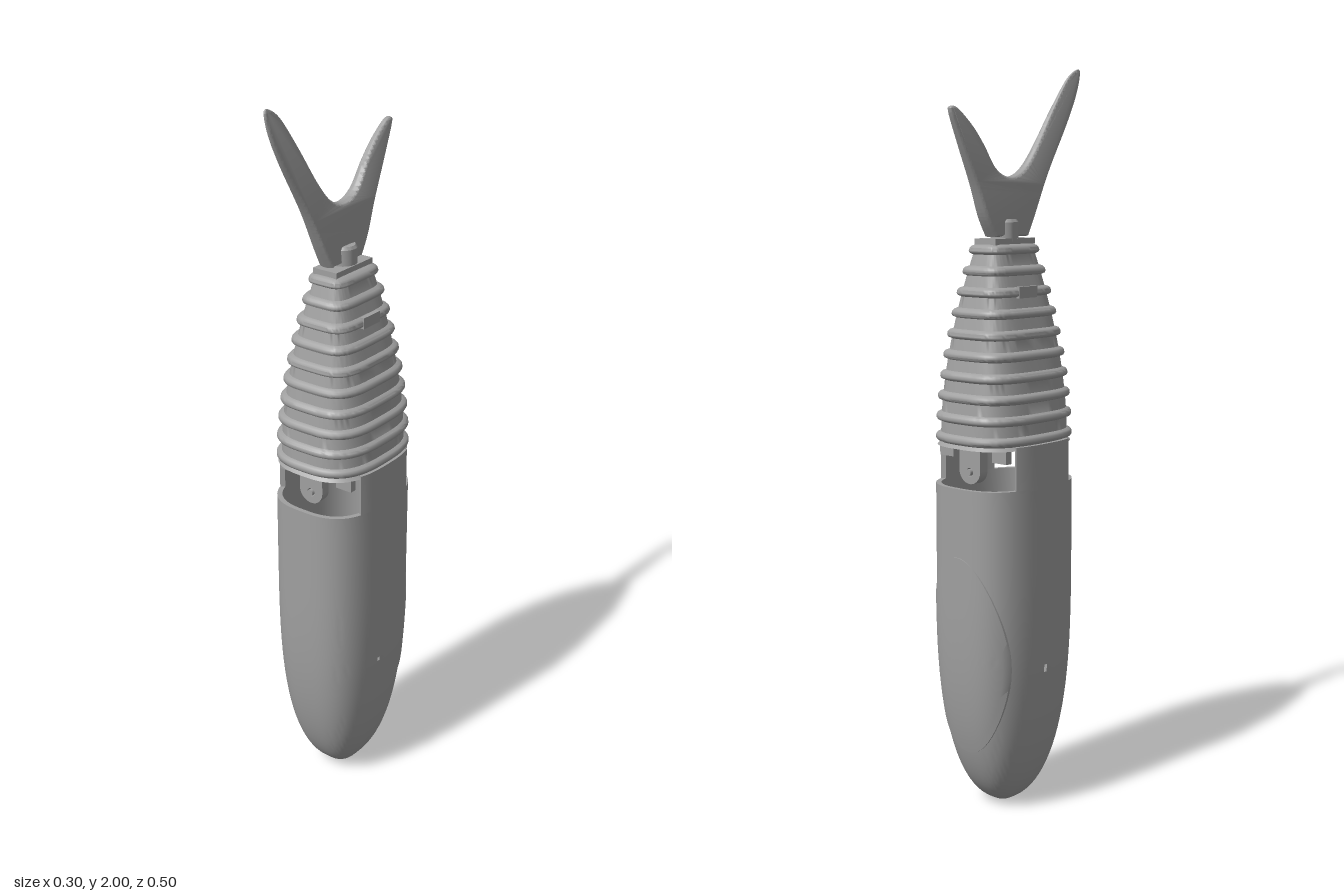
import * as THREE from 'three';
import { toCreasedNormals } from 'three/addons/utils/BufferGeometryUtils.js';

const ZC = -0.03;   // centre line of the hull in z
const N = 2.8;      // squareness of the hull section
const COLS = 80;

// Point on a squared oval of half sizes hx, hz at angle a
function oval(a, hx, hz, n) {
  const c = Math.cos(a), s = Math.sin(a);
  return [
    hx * Math.sign(c) * Math.abs(c) ** (2 / n),
    ZC + hz * Math.sign(s) * Math.abs(s) ** (2 / n),
  ];
}

// Half sizes of the hull at height y
function hullSize(y) {
  const u = Math.max(0, 1 - y / 0.7);
  const f = Math.max(0, 1 - u ** 3) ** (1 / 2.2);
  return [0.15 * f, 0.184 * f];
}

// Surface from a grid of points, facing along (row step) x (column step)
function grid(rows, cols, point, keep = () => true, crease = 0.6) {
  const pos = [], index = [];
  for (let i = 0; i < rows; i++)
    for (let j = 0; j < cols; j++) pos.push(...point(i, j));
  for (let i = 0; i < rows - 1; i++)
    for (let j = 0; j < cols; j++) {
      if (!keep(i, j)) continue;
      const k = (j + 1) % cols;
      const a = i * cols + j, b = a + cols, c = (i + 1) * cols + k, d = i * cols + k;
      index.push(a, b, c, a, c, d);
    }
  const g = new THREE.BufferGeometry();
  g.setAttribute('position', new THREE.Float32BufferAttribute(pos, 3));
  g.setIndex(index);
  return toCreasedNormals(g, crease);
}

// Loft through rings [y, hx, hz, n]
function loft(rings, keep, crease) {
  return grid(rings.length, COLS, (i, j) => {
    const [y, hx, hz, n = N] = rings[i];
    const [x, z] = oval((j / COLS) * Math.PI * 2, hx, hz, n);
    return [x, y, z];
  }, keep, crease);
}

export function createModel() {
  const group = new THREE.Group();
  const grey = new THREE.MeshStandardMaterial({ color: 0xa0a0a0, side: THREE.DoubleSide });
  grey.name = 'grey';
  const add = (name, geometry, x = 0, y = 0, z = 0) => {
    const m = new THREE.Mesh(geometry, grey);
    m.name = name;
    m.position.set(x, y, z);
    group.add(m);
    return m;
  };

  // Hollow hull with a small hole through both sides
  const lo = 0.386, hi = 0.414, top = 0.905, wall = 0.013;
  const ys = [lo, hi];
  for (let k = 0; k <= 30; k++) {
    const y = top * (k / 30) ** 2;
    if (y < lo - 0.01 || y > hi + 0.01) ys.push(y);
  }
  ys.sort((a, b) => a - b);
  const outer = ys.map((y) => [y, ...hullSize(y)]);
  const inner = outer.filter((r) => r[0] > 0.03)
    .map(([y, hx, hz]) => [y, hx - wall, hz - wall]).reverse();
  const hull = [...outer, ...inner, [0.03, 0, 0]];
  add('hull', loft(hull, (i, j) => {
    const mid = (hull[i][0] + hull[i + 1][0]) / 2;
    const inHole = mid > lo && mid < hi && (j === 0 || j === COLS / 2 - 1);
    return !inHole;
  }));

  // Oval hatch on the back, slightly proud of the hull
  const R = 14;
  add('backHatch', grid(R + 1, 64, (i, j) => {
    const r = Math.min(1, i / (R - 1)), a = (-j / 64) * Math.PI * 2;
    const lift = i === R ? -0.003 : 0.003;
    const x = 0.13 * r * Math.cos(a), y = 0.445 + 0.275 * r * Math.sin(a);
    const [hx, hz] = hullSize(y);
    const q = Math.min(1, Math.abs(x) / (hx + lift));
    return [x, y, ZC - (hz + lift) * (1 - q ** N) ** (1 / N)];
  }));

  // Curved side walls joining the hull to the tail section
  for (const side of [0, Math.PI]) {
    const out = [], inn = [];
    for (let k = -6; k <= 6; k++) {
      const a = side + (k / COLS) * Math.PI * 2;
      const [x, z] = oval(a, 0.15, 0.184, N);
      const [xi, zi] = oval(a, 0.15 - wall, 0.184 - wall, N);
      out.push(new THREE.Vector2(x, -z));
      inn.unshift(new THREE.Vector2(xi, -zi));
    }
    const g = new THREE.ExtrudeGeometry(new THREE.Shape([...out, ...inn]),
      { depth: 0.12, bevelEnabled: false });
    g.rotateX(-Math.PI / 2);
    add(side ? 'rightWall' : 'leftWall', toCreasedNormals(g, 0.6), 0, 0.9, 0);
  }

  // Hinge tabs with pins, and small brackets, at front and back
  const tab = new THREE.Shape();
  tab.moveTo(-0.038, 0.1);
  tab.lineTo(-0.038, 0.038);
  tab.absarc(0, 0.038, 0.038, Math.PI, Math.PI * 2, false);
  tab.lineTo(0.038, 0.1);
  const pinHole = new THREE.Path();
  pinHole.absarc(0, 0.032, 0.012, 0, Math.PI * 2, true);
  tab.holes.push(pinHole);
  const tabGeo = new THREE.ExtrudeGeometry(tab, { depth: 0.028, bevelEnabled: false, curveSegments: 16 });
  for (const [name, s] of [['front', 1], ['back', -1]]) {
    const z = ZC + s * 0.125;
    add(name + 'HingeTab', tabGeo, -0.003, 0.912, z - 0.014);
    const pin = add(name + 'HingePin', new THREE.CylinderGeometry(0.009, 0.009, 0.04, 16), -0.003, 0.944, z);
    pin.rotation.x = Math.PI / 2;
    for (const x of [-0.095, 0.095])
      add(name + 'Bracket', new THREE.BoxGeometry(0.05, 0.035, 0.02), x, 0.993, z - s * 0.01);
  }

  // Ribbed, tapering tail section
  const ribbed = (y, inset) => {
    const t = Math.min(1, Math.max(0, (y - 1.01) / 0.53));
    const cut = 0.093 * t ** 1.6 + inset;
    return [y, 0.148 - cut, 0.183 - cut, N + 1.7 * t];
  };
  const rings = [[1.01, 0, 0], ribbed(1.01, 0.003)];
  for (let k = 0; k < 10; k++) {
    const y = 1.032 + k * 0.0548;
    for (const [dy, inset] of [[-0.013, 0.012], [-0.009, 0.003], [-0.004, 0], [0.004, 0], [0.009, 0.003], [0.013, 0.012]])
      rings.push(ribbed(y + dy, inset));
  }
  rings.push([1.54, 0, 0]);
  add('ribbedTail', loft(rings, undefined, 0.9));

  // Side clips, top plate and fin socket
  for (const s of [-1, 1])
    add('sideClip', new THREE.BoxGeometry(0.012, 0.03, 0.07), s * 0.083, 1.415, ZC - 0.004);
  add('topPlate', new THREE.BoxGeometry(0.075, 0.016, 0.155), -0.002, 1.545, ZC);
  const socket = [[0, 0], [0.037, 0], [0.037, 0.05], [0.032, 0.058], [0, 0.06]]
    .map(([x, y]) => new THREE.Vector2(x, y));
  add('finSocket', toCreasedNormals(new THREE.LatheGeometry(socket, 32), 0.5), -0.004, 1.545, ZC - 0.003);

  // Forked fin, thick at the root and thin at the tips
  const fin = new THREE.Shape();
  fin.moveTo(0.037, 1.557);
  fin.splineThru([[0.065, 1.61], [0.12, 1.72], [0.2, 1.855], [0.24, 1.935], [0.254, 1.99],
    [0.24, 1.998], [0.2, 1.97], [0.14, 1.89], [0.07, 1.785], [0.02, 1.73], [-0.033, 1.713],
    [-0.085, 1.735], [-0.13, 1.795], [-0.17, 1.84], [-0.22, 1.88], [-0.245, 1.886],
    [-0.247, 1.868], [-0.21, 1.79], [-0.16, 1.69], [-0.125, 1.61], [-0.092, 1.557]]
    .map(([z, y]) => new THREE.Vector2(z, y)));
  const finGeo = new THREE.ExtrudeGeometry(fin, {
    depth: 0.4, steps: 1, curveSegments: 80,
    bevelEnabled: true, bevelThickness: 0.8, bevelSize: 0.008, bevelOffset: -0.008, bevelSegments: 4,
  });
  finGeo.rotateY(-Math.PI / 2);   // outline into the z-y plane
  const p = finGeo.attributes.position;
  for (let i = 0; i < p.count; i++) {
    const t = (p.getY(i) - 1.557) / 0.443;
    const half = 0.023 - 0.019 * t;
    p.setX(i, -0.007 - 0.011 * t + (p.getX(i) + 0.2) * half);
  }
  add('tailFin', toCreasedNormals(finGeo, 0.7));

  return group;
}
